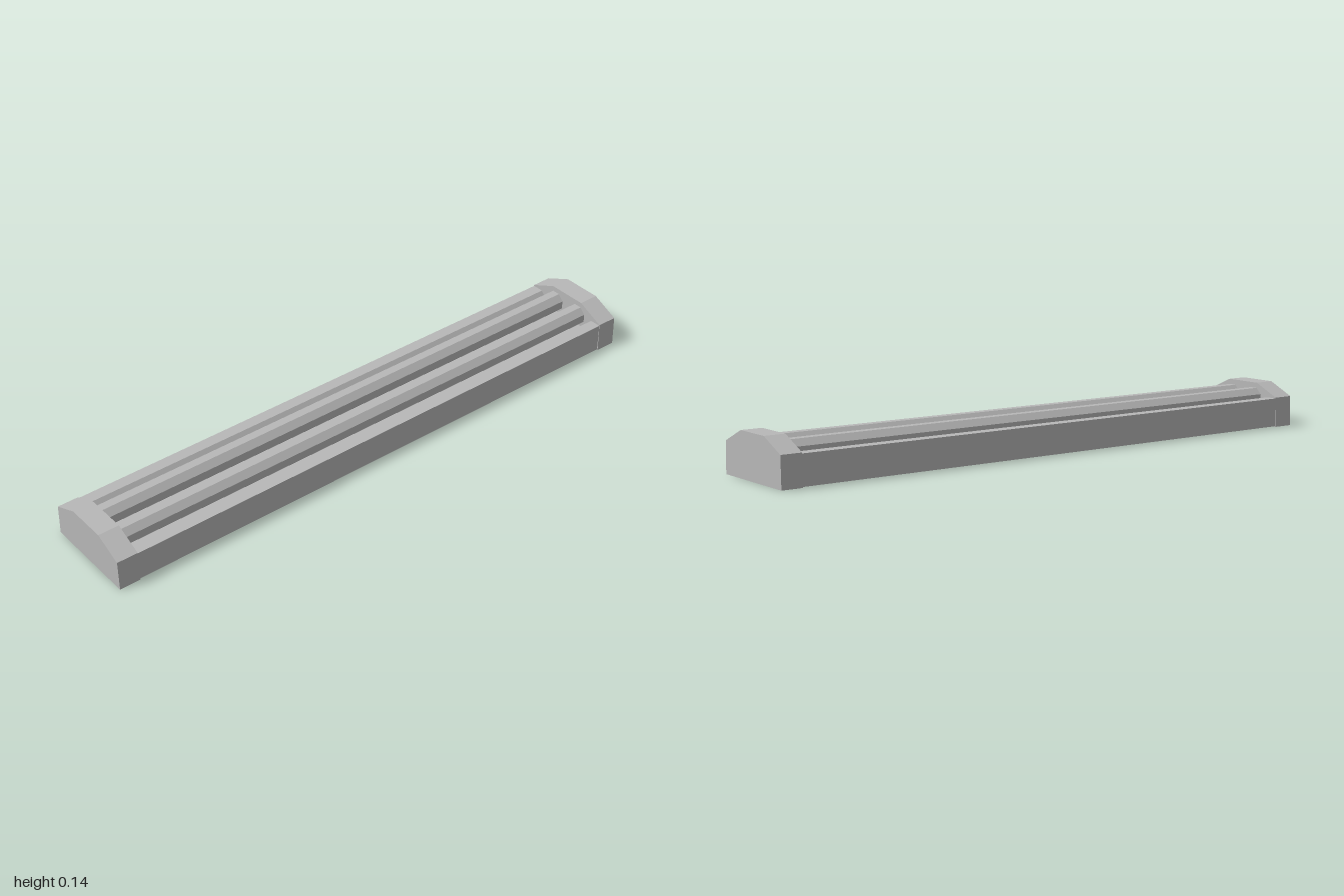
import * as THREE from 'three';

export function createModel() {
  const model = new THREE.Group();
  model.name = 'stripLightFixture';
  const grey = new THREE.MeshStandardMaterial({ color: 0xb8b8b8 });
  grey.name = 'lightGrey';

  // Extrude a cross-section along z, centred on zMid
  function extrude(name, points, length, zMid) {
    const shape = new THREE.Shape(points.map(([x, y]) => new THREE.Vector2(x, y)));
    const geometry = new THREE.ExtrudeGeometry(shape, { depth: length, bevelEnabled: false });
    geometry.translate(0, 0, zMid - length / 2);
    const mesh = new THREE.Mesh(geometry, grey);
    mesh.name = name;
    model.add(mesh);
  }

  // Complete a right-half profile by mirroring it in x
  const mirrored = (half) => [...half, ...half.map(([x, y]) => [-x, y]).reverse()];

  // Trough-shaped housing with flat rims and sloping reflector walls
  extrude('housing', mirrored([[0.16, 0.002], [0.16, 0.098], [0.121, 0.098], [0.082, 0.052]]), 1.87, 0);

  // Chamfered end caps, slightly wider at the foot
  const cap = mirrored([[0.163, 0], [0.161, 0.101], [0.068, 0.143]]);
  extrude('frontEndCap', cap, 0.07, 0.965);
  extrude('backEndCap', cap, 0.07, -0.965);

  // Two octagonal lamp tubes with a flat side on top
  const radius = 0.034 / Math.cos(Math.PI / 8);
  for (const side of [-1, 1]) {
    const points = Array.from({ length: 8 }, (_, i) => {
      const a = (i + 0.5) * Math.PI / 4;
      return [side * 0.053 + radius * Math.cos(a), 0.091 + radius * Math.sin(a)];
    });
    extrude(side > 0 ? 'leftTube' : 'rightTube', points, 1.87, 0);
  }

  return model;
}
